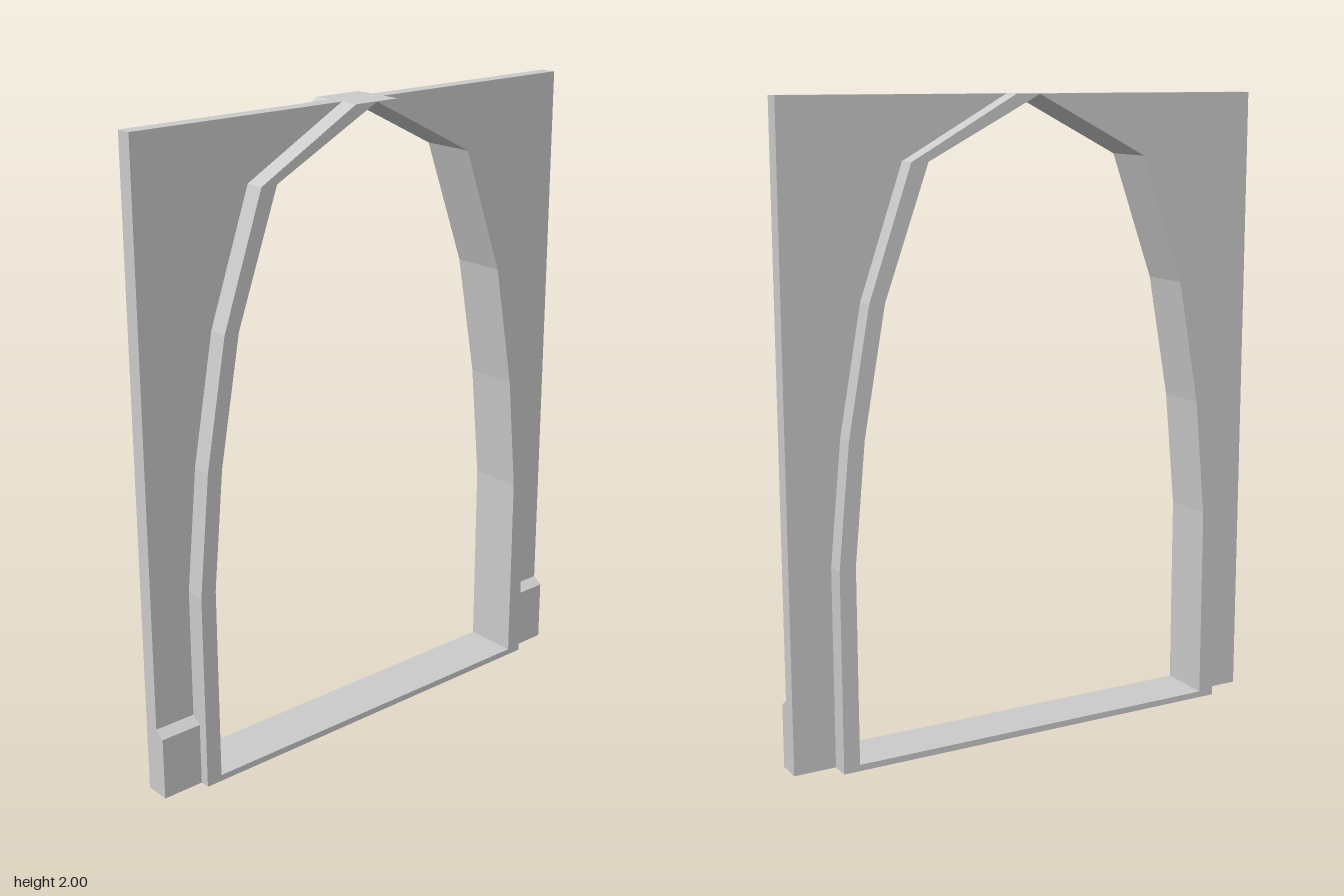
import * as THREE from 'three';

const HALF_WIDTH = 0.81, TOP = 2;
const WALL_DEPTH = 0.05, TRIM_DEPTH = 0.175;

// Right-hand halves of the arch outlines, from the floor up
const OUTER = [[0.675, 0], [0.675, 0.63], [0.637, 1.015], [0.565, 1.41], [0.425, 1.81], [0.08, TOP]];
const INNER = [[0.623, 0.02], [0.623, 0.64], [0.587, 1.015], [0.515, 1.41], [0.37, 1.81], [0, TOP - 0.001]];

const material = new THREE.MeshStandardMaterial({ color: 0xcccccc, flatShading: true });

const toPoints = (list) => list.map(([x, y]) => new THREE.Vector2(x, y));
const flip = (list) => list.map(([x, y]) => [-x, y]);

// Full symmetric outline from a right-hand half
function mirrored(half) {
  const other = flip(half).reverse().filter(([x]) => x !== 0);
  return toPoints([...half, ...other]);
}

// Extrusion centred on z = 0
function slab(shape, depth) {
  const geometry = new THREE.ExtrudeGeometry(shape, { depth, bevelEnabled: false });
  return geometry.translate(0, 0, -depth / 2);
}

function add(group, name, geometry) {
  const mesh = new THREE.Mesh(geometry, material);
  mesh.name = name;
  group.add(mesh);
}

export function createModel() {
  const group = new THREE.Group();
  group.name = 'archedDoorway';

  // Arched trim with its thin threshold
  const arch = new THREE.Shape(mirrored(OUTER));
  arch.holes.push(new THREE.Path(mirrored(INNER)));
  add(group, 'archTrim', slab(arch, TRIM_DEPTH));

  for (const [side, sign] of [['left', 1], ['right', -1]]) {
    // Thin wall panel filling the space beside the arch
    const panel = [...OUTER, [HALF_WIDTH, TOP], [HALF_WIDTH, 0]];
    const outline = sign > 0 ? panel : flip(panel);
    add(group, side + 'WallPanel', slab(new THREE.Shape(toPoints(outline)), WALL_DEPTH));

    // Skirting board with a chamfered top, on the front only
    const z = WALL_DEPTH / 2;
    const profile = new THREE.Shape(toPoints([[z, 0], [0.056, 0], [0.056, 0.2], [z, 0.222]]));
    const skirting = slab(profile, HALF_WIDTH - OUTER[0][0]);
    skirting.rotateY(-Math.PI / 2);
    skirting.translate(sign * (HALF_WIDTH + OUTER[0][0]) / 2, 0, 0);
    add(group, side + 'Skirting', skirting);
  }

  return group;
}
